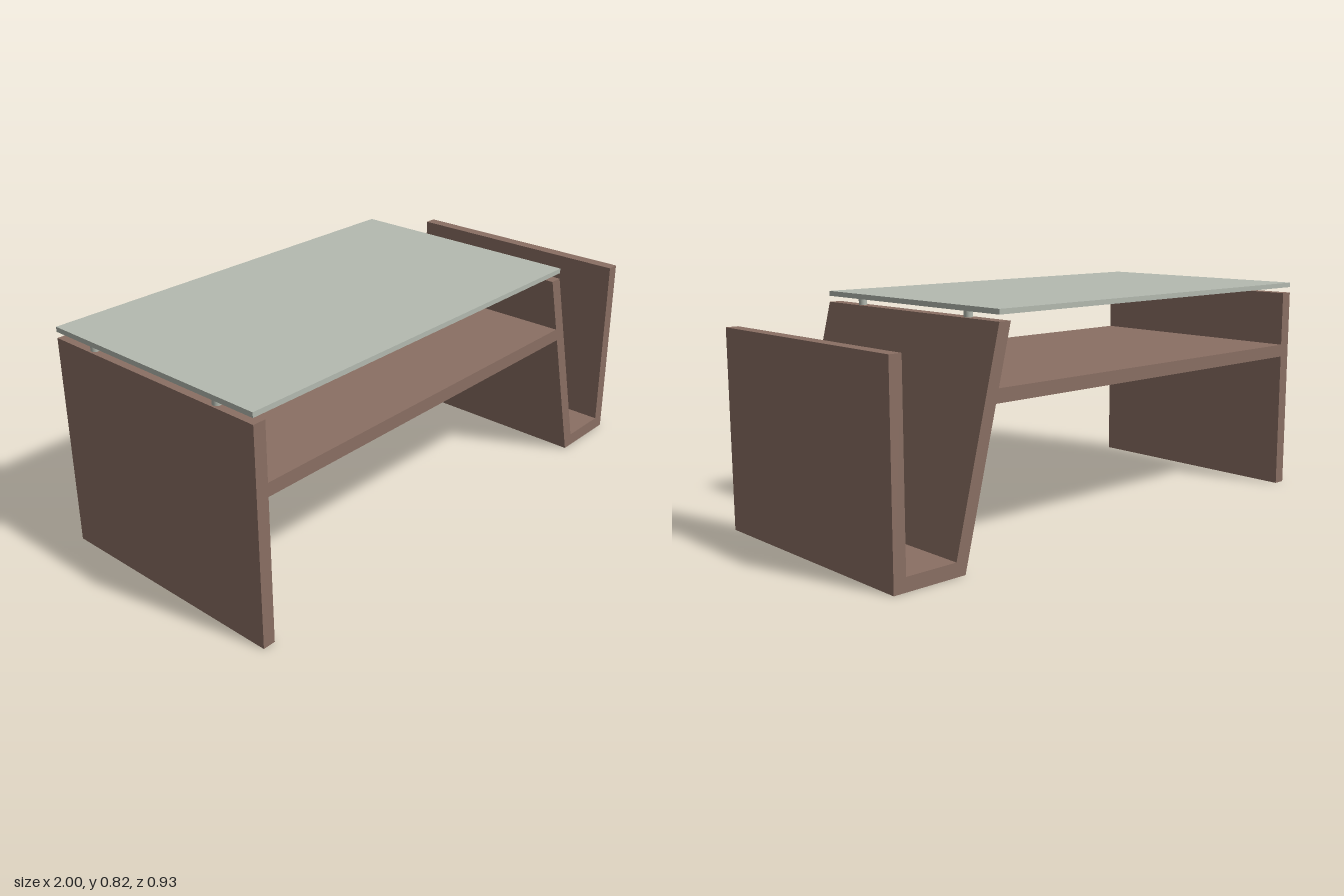
import * as THREE from 'three';

const DEPTH = 0.934;

export function createModel() {
  const group = new THREE.Group();
  const wood = new THREE.MeshStandardMaterial({ color: 0x8a6f63 });
  wood.name = 'brown wood';
  const glass = new THREE.MeshStandardMaterial({ color: 0xb4bab0 });
  glass.name = 'pale green glass';

  const add = (name, geometry, material, x = 0, y = 0, z = 0) => {
    const mesh = new THREE.Mesh(geometry, material);
    mesh.name = name;
    mesh.position.set(x, y, z);
    group.add(mesh);
  };

  // Front profile (x, y) extruded over the full depth
  const board = (name, points) => {
    const shape = new THREE.Shape(points.map(([x, y]) => new THREE.Vector2(x, y)));
    const geometry = new THREE.ExtrudeGeometry(shape, { depth: DEPTH, bevelEnabled: false });
    geometry.translate(0, 0, -DEPTH / 2);
    add(name, geometry, wood);
  };

  // Upright end panel
  board('endPanel', [[-1, 0], [-0.953, 0], [-0.953, 0.783], [-1, 0.783]]);

  // Shelf, cut at an angle where it meets the slanted panel
  board('shelf', [[-0.953, 0.527], [0.591, 0.527], [0.579, 0.575], [-0.953, 0.575]]);

  // Magazine trough: slanted panel, floor and outer panel
  board('magazineTrough', [
    [0.722, 0], [1, 0], [1, 0.722], [0.953, 0.722],
    [0.953, 0.049], [0.758, 0.049], [0.575, 0.783], [0.527, 0.783],
  ]);

  // Glass top on four round spacers
  add('glassTop', new THREE.BoxGeometry(1.575, 0.018, DEPTH), glass, -0.2125, 0.814, 0);
  const spacer = new THREE.CylinderGeometry(0.015, 0.015, 0.022, 24);
  for (const x of [-0.978, 0.551]) {
    for (const z of [-0.291, 0.291]) add('glassSpacer', spacer, glass, x, 0.794, z);
  }

  return group;
}
